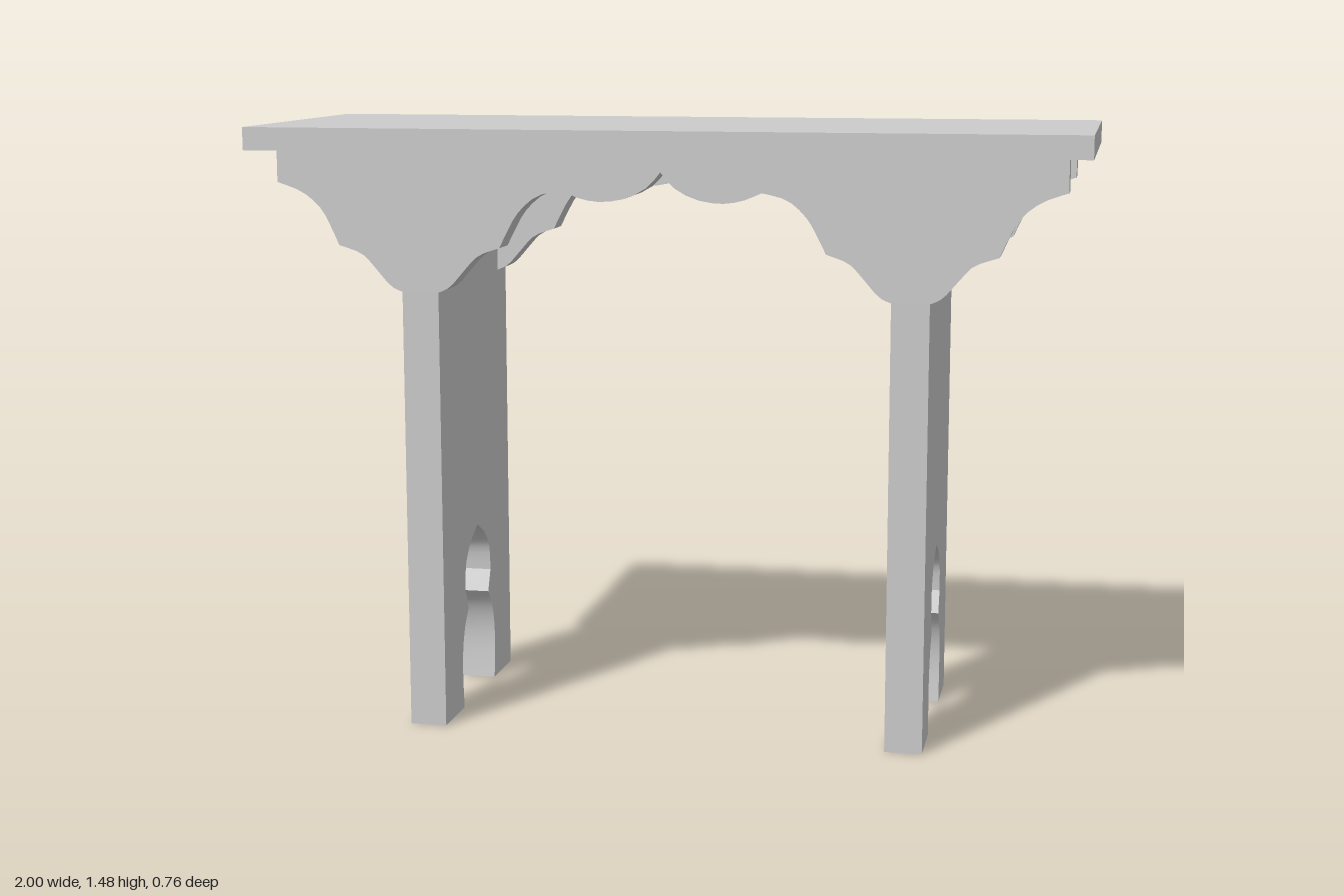
import * as THREE from 'three';
import { toCreasedNormals } from 'three/addons/utils/BufferGeometryUtils.js';

const material = new THREE.MeshStandardMaterial({ color: 0xcccccc });

// Main dimensions
const TOP_Y = 1.475, UNDER_Y = 1.42;
const LEG_X = 0.59, LEG_T = 0.09, LEG_Z = 0.3;
const APRON_T = 0.075, APRON_Y = 1.08, APRON_X = 0.945;

// Runs smooth lobes through each list of points; lobes meet at sharp cusps
function lobes(lists) {
  return lists.flatMap((list) => {
    const pts = list.map(([x, y]) => new THREE.Vector2(x, y));
    return pts.length > 2 ? new THREE.SplineCurve(pts).getPoints(10) : pts;
  });
}

// Closes a half outline (running from the centre line outwards) with its mirror image
function mirrored(half) {
  const other = half.map((p) => new THREE.Vector2(-p.x, p.y)).reverse();
  const all = [...half, ...other];
  return all.filter((p, i) => p.distanceTo(all[(i + 1) % all.length]) > 1e-5);
}

function board(name, outline, depth) {
  const geometry = new THREE.ExtrudeGeometry(new THREE.Shape(outline), { depth, bevelEnabled: false });
  geometry.translate(0, 0, -depth / 2);
  const mesh = new THREE.Mesh(toCreasedNormals(geometry, 0.45), material);
  mesh.name = name;
  return mesh;
}

// Scalloped apron, half outline from the centre cusp to the outer end
const apronHalf = lobes([
  [[0, 1.375], [0.035, 1.337], [0.09, 1.311], [0.15, 1.304], [0.2, 1.313], [0.24, 1.33]],
  [[0.24, 1.33], [0.3, 1.314], [0.345, 1.275], [0.372, 1.23], [0.392, 1.19]],
  [[0.392, 1.19], [0.443, 1.171], [0.475, 1.14], [0.515, 1.095], [0.545, APRON_Y]],
  [[0.635, APRON_Y], [0.665, 1.095], [0.705, 1.14], [0.737, 1.171], [0.792, 1.19]],
  [[0.792, 1.19], [0.81, 1.23], [0.838, 1.28], [0.885, 1.318], [APRON_X, 1.34]],
  [[APRON_X, UNDER_Y], [0, UNDER_Y]],
]);

// Leg panel with a pointed keyhole arch, notched at the top to take the aprons
const legHalf = lobes([
  [[0, 0.445], [0.055, 0.418], [0.09, 0.388], [0.11, 0.355], [0.115, 0.3]],
  [[0.115, 0.3], [0.091, 0.246]],
  [[0.091, 0.246], [0.125, 0.205], [0.144, 0.15], [0.148, 0.085], [0.14, 0]],
  [[LEG_Z, 0], [LEG_Z, APRON_Y]],
  [[LEG_Z - APRON_T, APRON_Y], [LEG_Z - APRON_T, UNDER_Y]],
]);

export function createModel() {
  const group = new THREE.Group();
  group.name = 'bench';

  // Seat board
  const seat = new THREE.Mesh(new THREE.BoxGeometry(2, TOP_Y - UNDER_Y, 0.756), material);
  seat.name = 'seat';
  seat.position.y = (TOP_Y + UNDER_Y) / 2;
  group.add(seat);

  for (const side of [1, -1]) {
    // Leg panels, left and right
    const leg = board(side > 0 ? 'leftLeg' : 'rightLeg', mirrored(legHalf), LEG_T);
    leg.rotation.y = Math.PI / 2;
    leg.position.x = side * LEG_X;
    group.add(leg);

    // Aprons, front and back
    const apron = board(side > 0 ? 'frontApron' : 'backApron', mirrored(apronHalf), APRON_T);
    apron.position.z = side * (LEG_Z - APRON_T / 2);
    group.add(apron);
  }
  return group;
}
